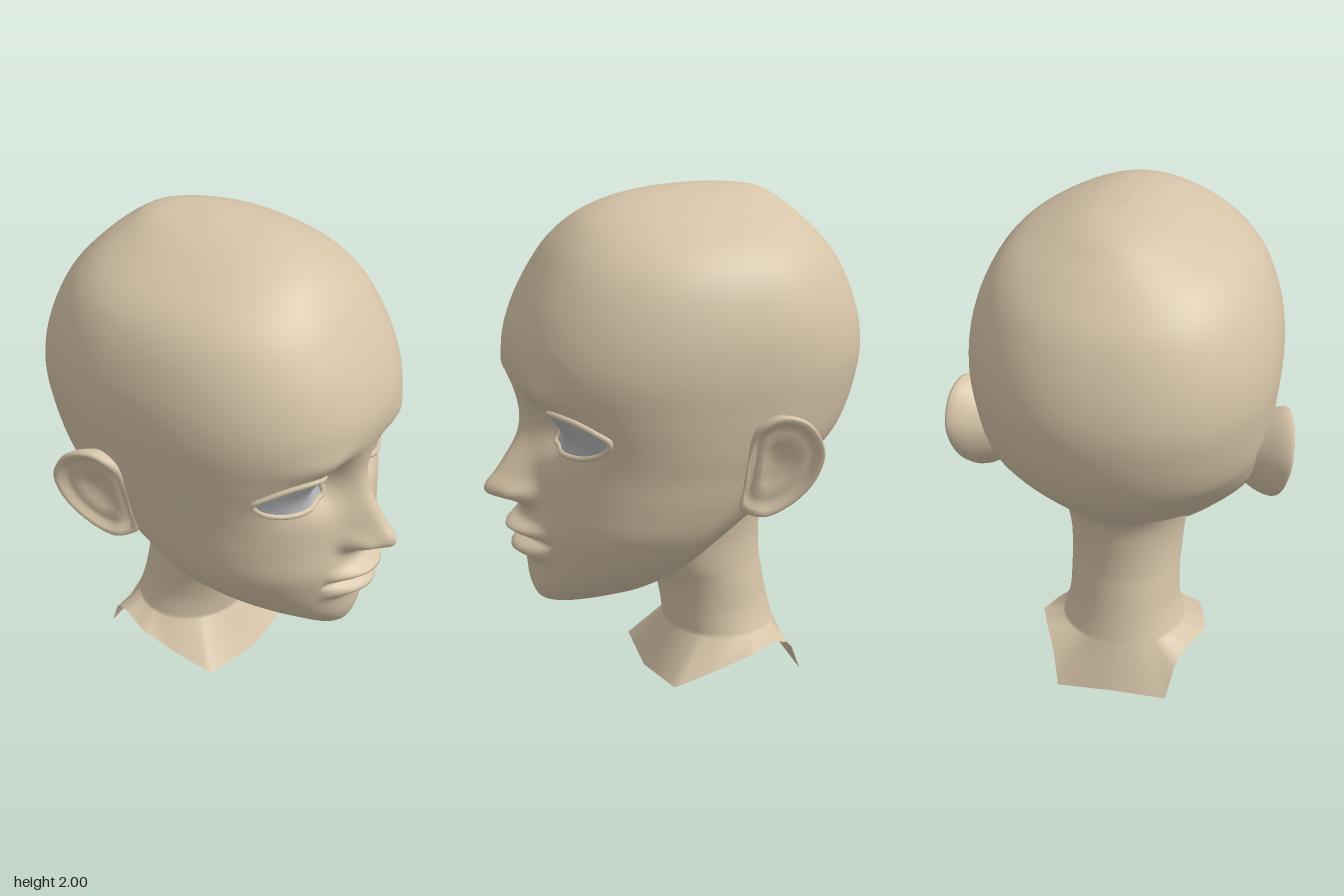
import * as THREE from 'three';

const skin = new THREE.MeshStandardMaterial({ color: 0xd6c4a8, side: THREE.DoubleSide });
skin.name = 'skin';
const eyeGrey = new THREE.MeshStandardMaterial({ color: 0xb5b6ba });
eyeGrey.name = 'eye grey';

// Head sections: y, half width, front z, back z, z of widest point, front roundness, back roundness
const HEAD = [
  [2.0, 0, -0.1, -0.1, -0.1, 2, 2],
  [1.978, 0.14, 0.15, -0.35, -0.12, 2, 2],
  [1.92, 0.28, 0.32, -0.46, -0.12, 2.1, 2.1],
  [1.83, 0.425, 0.43, -0.56, -0.13, 2.2, 2.2],
  [1.72, 0.51, 0.51, -0.65, -0.14, 2.3, 2.2],
  [1.56, 0.565, 0.595, -0.72, -0.15, 2.3, 2.2],
  [1.4, 0.58, 0.635, -0.75, -0.15, 2.3, 2.2],
  [1.24, 0.568, 0.605, -0.735, -0.15, 2.3, 2.1],
  [1.1, 0.55, 0.572, -0.69, -0.14, 2.25, 2],
  [1.0, 0.53, 0.57, -0.63, -0.12, 2.2, 1.8],
  [0.88, 0.505, 0.572, -0.525, -0.06, 2.15, 1.6],
  [0.76, 0.465, 0.58, -0.4, 0.02, 2.1, 1.45],
  [0.66, 0.405, 0.58, -0.27, 0.08, 2, 1.45],
  [0.56, 0.32, 0.575, -0.13, 0.14, 2, 1.6],
  [0.49, 0.24, 0.57, 0.0, 0.2, 2, 1.8],
  [0.44, 0.165, 0.555, 0.1, 0.27, 2, 2],
  [0.405, 0.09, 0.53, 0.3, 0.4, 2, 2],
  [0.39, 0, 0.47, 0.47, 0.47, 2, 2],
];
const NOSE = [[1.3, 0], [1.2, 0.005], [1.13, 0.025], [1.05, 0.065], [0.96, 0.125], [0.905, 0.172],
  [0.87, 0.165], [0.845, 0.11], [0.82, 0.045], [0.79, 0.012], [0.74, 0]];

// Smooth interpolation through rows of numbers
function sample(rows, t) {
  const i = Math.min(Math.floor(t), rows.length - 2), f = t - i;
  const at = (k) => rows[Math.max(0, Math.min(rows.length - 1, k))];
  const [a, b, c, d] = [at(i - 1), at(i), at(i + 1), at(i + 2)];
  return b.map((v, k) => v + 0.5 * f * (c[k] - a[k]
    + f * (2 * a[k] - 5 * v + 4 * c[k] - d[k] + f * (3 * (v - c[k]) + d[k] - a[k]))));
}
// Row at a given height, for tables running downwards
function sampleAt(rows, y) {
  let lo = 0, hi = rows.length - 1;
  for (let k = 0; k < 30; k++) {
    const m = (lo + hi) / 2;
    if (sample(rows, m)[0] > y) lo = m; else hi = m;
  }
  return sample(rows, lo);
}

// Relief of the face, added to z
const bump = (v, centre, size) => Math.exp(-(((v - centre) / size) ** 2));
function relief(x, y) {
  const ax = Math.abs(x);
  let z = 0;
  // Sockets and brow
  z -= 0.085 * bump(ax, 0.145, 0.07) * bump(y, 1.15, 0.1);
  z -= 0.03 * bump(ax, 0.27, 0.11) * bump(y, 1.13, 0.09);
  z += 0.018 * bump(ax, 0.24, 0.14) * bump(y, 1.31, 0.05);
  // Nose and its wings
  if (y < 1.3 && y > 0.74) {
    const s = THREE.MathUtils.lerp(0.075, 0.05, THREE.MathUtils.smoothstep(y, 0.88, 1.12));
    z += sampleAt(NOSE, y)[1] * bump(x, 0, s);
  }
  z += 0.045 * bump(ax, 0.078, 0.032) * bump(y, 0.872, 0.035);
  // Mouth
  const lip = Math.max(0, 1 - (ax / 0.18) ** 2);
  z += 0.022 * bump(x, 0, 0.18) * bump(y, 0.71, 0.09);
  z += lip * (0.06 * bump(y, 0.722, 0.026) + 0.052 * bump(y, 0.632, 0.028));
  z -= 0.035 * Math.sqrt(lip) * bump(y, 0.68, 0.012);
  return z;
}
function faceZ(x, y) {
  const [, w, zf, , zc, n] = sampleAt(HEAD, y);
  return zc + (zf - zc) * (1 - Math.min(1, Math.abs(x) / w) ** n) ** (1 / n) + relief(x, y);
}

// Surface through closed rings of points
function loft(rings) {
  const n = rings[0].length, index = [];
  for (let i = 0; i < rings.length - 1; i++) {
    for (let j = 0; j < n; j++) {
      const k = (j + 1) % n, a = i * n, b = a + n;
      index.push(a + j, b + j, a + k, b + j, b + k, a + k);
    }
  }
  const geo = new THREE.BufferGeometry();
  geo.setAttribute('position', new THREE.Float32BufferAttribute(rings.flat(2), 3));
  geo.setIndex(index);
  geo.computeVertexNormals();
  return geo;
}
function part(name, geo, material) {
  const mesh = new THREE.Mesh(geo, material);
  mesh.name = name;
  return mesh;
}

// Skull and face, with finer columns towards the front
function headGeometry() {
  const rings = [], steps = (HEAD.length - 1) * 10, cols = 180;
  for (let i = 0; i <= steps; i++) {
    const [y, w, zf, zb, zc, nf, nb] = sample(HEAD, i / 10);
    const ring = [];
    for (let j = 0; j < cols; j++) {
      const t = (j / cols) * Math.PI * 2, a = t - 0.45 * Math.sin(t);
      const s = Math.sin(a), c = Math.cos(a), front = c > 0, e = 2 / (front ? nf : nb);
      const x = Math.max(w, 0) * Math.sign(s) * Math.abs(s) ** e;
      const z = zc + ((front ? zf : zb) - zc) * Math.abs(c) ** e;
      ring.push([x, y, front ? z + relief(x, y) * Math.min(1, c * 4) : z]);
    }
    rings.push(ring);
  }
  return loft(rings);
}

// Neck: y, half width, front z, back z; then the angular cut edge: degrees, x, y, z
const NECK = [[0.9, 0.3, 0.15, -0.49], [0.75, 0.26, 0.17, -0.4], [0.62, 0.23, 0.15, -0.383],
  [0.5, 0.22, 0.1, -0.385], [0.42, 0.217, 0.045, -0.397], [0.3, 0.222, 0.015, -0.42], [0.2, 0.25, 0.0, -0.445]];
const EDGE = [[0, 0, 0.02, 0.1], [45, 0.27, 0.04, 0.07], [75, 0.31, 0.1, -0.08], [100, 0.335, 0.158, -0.23],
  [125, 0.29, 0.175, -0.36], [138, 0.25, 0.14, -0.44], [150, 0.22, 0.0, -0.5], [180, 0, 0.015, -0.51]];
function neckGeometry() {
  const rings = [], cols = 72;
  const angles = Array.from({ length: cols }, (_, j) => (j / cols) * 360);
  for (let i = 0; i <= (NECK.length - 1) * 4; i++) {
    const [y, w, zf, zb] = sample(NECK, i / 4);
    rings.push(angles.map((d) => {
      const a = THREE.MathUtils.degToRad(d);
      return [w * Math.sin(a), y, (zf + zb) / 2 + ((zf - zb) / 2) * Math.cos(a)];
    }));
  }
  rings.push(angles.map((d) => {
    const h = d > 180 ? 360 - d : d;
    const k = Math.max(1, EDGE.findIndex((e) => e[0] >= h));
    const p = EDGE[k - 1], q = EDGE[k], f = (h - p[0]) / (q[0] - p[0]);
    const [x, y, z] = [1, 2, 3].map((m) => p[m] + (q[m] - p[m]) * f);
    return [d > 180 ? -x : x, y, z];
  }));
  return loft(rings);
}

const outline = (points, count) =>
  new THREE.CatmullRomCurve3(points.map(([a, b]) => new THREE.Vector3(a, b, 0)), true)
    .getPoints(count).slice(0, count);
const mirrored = (rings, side) =>
  side > 0 ? rings : rings.map((r) => r.map(([x, y, z]) => [-x, y, z]).reverse());

// Ear: outline in z and y, shrunk in loops from the back over the rim into the hollow
const EAR = outline([[-0.13, 1.2], [-0.2, 1.257], [-0.3, 1.235], [-0.37, 1.12], [-0.345, 0.99],
  [-0.26, 0.885], [-0.17, 0.84], [-0.1, 0.865], [-0.1, 0.98], [-0.105, 1.1]], 48);
const EAR_LOOPS = [[0.7, -0.12], [0.88, -0.07], [0.97, -0.035], [1, -0.01], [0.98, 0.002], [0.93, 0.006],
  [0.86, 0.0], [0.78, -0.018], [0.66, -0.024], [0.54, -0.02], [0.42, -0.032], [0.2, -0.042], [0, -0.044]];
function earGeometry(side) {
  const rings = EAR_LOOPS.map(([s, dx]) => EAR.map((p) => {
    const z = -0.22 + (p.x + 0.22) * s, y = 1.05 + (p.y - 1.05) * s;
    const merge = 0.03 * THREE.MathUtils.smoothstep(z, -0.17, -0.09);
    return [0.53 + 0.33 * (-0.1 - z) + 0.15 * (y - 0.85) + dx - merge, y, z];
  }));
  return loft(mirrored(rings, side));
}

// Almond eye lying on the face, and the lid rim around it
const EYE = outline([[0.137, 1.1], [0.147, 1.165], [0.185, 1.212], [0.26, 1.236], [0.34, 1.223], [0.39, 1.192],
  [0.415, 1.163], [0.385, 1.115], [0.32, 1.083], [0.24, 1.077], [0.175, 1.086]], 64);
function eyeGeometry(side) {
  const rings = [];
  for (let i = 0; i <= 10; i++) {
    const s = 1 - i / 10;
    rings.push(EYE.map((p) => {
      const x = 0.27 + (p.x - 0.27) * s, y = 1.155 + (p.y - 1.155) * s;
      return [x, y, faceZ(x, y) + 0.008];
    }));
  }
  return loft(mirrored(rings, side));
}
function lidGeometry(side) {
  const points = EYE.map((p) => {
    const x = 0.27 + (p.x - 0.27) * 1.04, y = 1.155 + (p.y - 1.155) * 1.07;
    return new THREE.Vector3(side * x, y, faceZ(x, y) + 0.004);
  });
  return new THREE.TubeGeometry(new THREE.CatmullRomCurve3(points, true), 96, 0.012, 8, true);
}

export function createModel() {
  const group = new THREE.Group();
  group.name = 'mannequinHead';
  group.add(part('head', headGeometry(), skin), part('neck', neckGeometry(), skin));
  for (const [side, name] of [[1, 'left'], [-1, 'right']]) {
    group.add(part(name + 'Ear', earGeometry(side), skin));
    group.add(part(name + 'Eye', eyeGeometry(side), eyeGrey));
    group.add(part(name + 'Eyelid', lidGeometry(side), skin));
  }
  return group;
}
